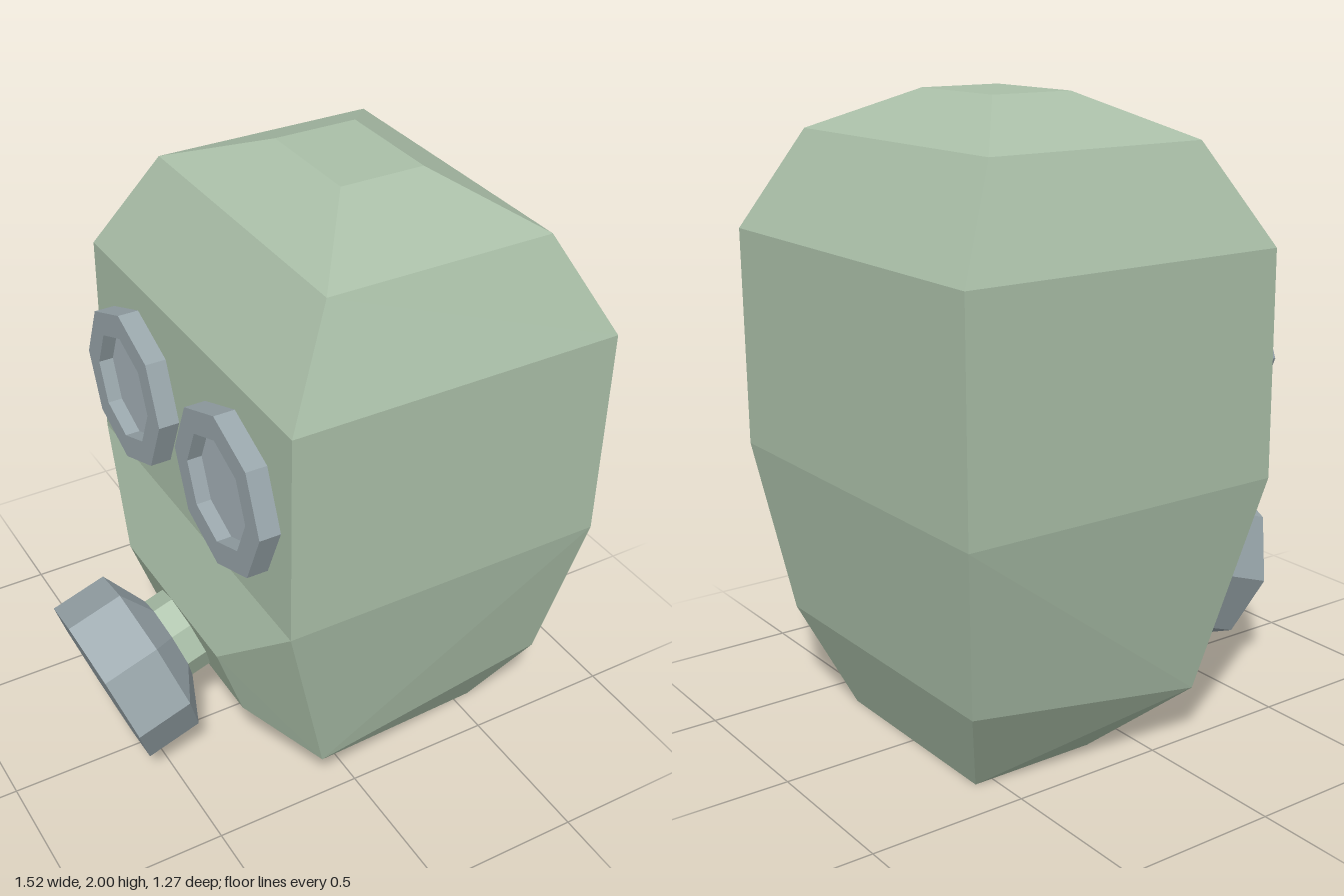
import * as THREE from 'three';

const paint = (color) => new THREE.MeshStandardMaterial({ color, flatShading: true });
const cloth = paint(0xaabfa8);
const steel = paint(0x98a5aa);
const glass = paint(0xa6b2b8);

function add(parent, name, geometry, material) {
  const mesh = new THREE.Mesh(geometry, material);
  mesh.name = name;
  parent.add(mesh);
  return mesh;
}

// Eight-sided turned part around local y; points are [radius, height]
const turned = (points) =>
  new THREE.LatheGeometry(points.map(([r, y]) => new THREE.Vector2(r, y)), 8);

// Faceted hood: a side outline mirrored in z, with strips bridging the halves
function hoodGeometry() {
  const points = {
    E: [0.14, 0, 0.35], F: [0.56, 0, 0.35], // base
    C: [0.68, 0.31, 0.52], B: [0.76, 0.86, 0.635], G: [0.76, 1.56, 0.635], // rear
    H: [0.59, 1.87, 0.5], I: [0.36, 2, 0.185], J: [0.085, 2, 0.185], K: [-0.145, 1.87, 0.5], // crown
    L: [-0.325, 1.56, 0.635], A: [-0.325, 0.86, 0.635], // face
    S: [-0.405, 0.58, 0.315], T: [-0.31, 0.305, 0.3], D: [-0.14, 0.18, 0.52], // snout and chin
  };
  const sides = ['EFD', 'FCD', 'CBD', 'BAD', 'ASD', 'STD', 'BGLA', 'GHKL', 'HIJK'];
  const left = (k) => points[k];
  const right = (k) => [points[k][0], points[k][1], -points[k][2]];
  const out = [];
  const face = (...c) => {
    for (let i = 1; i < c.length - 1; i++) out.push(...c[0], ...c[i], ...c[i + 1]);
  };
  for (const side of sides) {
    face(...[...side].map(left));
    face(...[...side].reverse().map(right));
  }
  const loop = Object.keys(points);
  loop.forEach((p, i) => {
    const q = loop[(i + 1) % loop.length];
    face(left(p), right(p), right(q), left(q));
  });
  const geometry = new THREE.BufferGeometry();
  geometry.setAttribute('position', new THREE.Float32BufferAttribute(out, 3));
  geometry.computeVertexNormals();
  return geometry;
}

export function createModel() {
  const model = new THREE.Group();
  model.name = 'gasMask';
  add(model, 'hood', hoodGeometry(), cloth);

  // Eyepieces: raised octagonal rims with recessed lenses
  for (const side of [1, -1]) {
    const eye = new THREE.Group();
    eye.name = side > 0 ? 'eyepieceFront' : 'eyepieceBack';
    eye.position.set(-0.325, 1.21, side * 0.315);
    eye.rotation.z = Math.PI / 2;
    add(eye, 'rim', turned([[0.262, 0], [0.262, 0.068], [0.18, 0.068], [0.18, 0.015]]), steel);
    add(eye, 'lens', turned([[0.18, 0.02], [0, 0.02]]), glass);
    model.add(eye);
  }

  // Filter: neck and canister pointing forward and down from the snout
  const filter = new THREE.Group();
  filter.name = 'filter';
  filter.position.set(-0.357, 0.443, 0);
  filter.rotation.z = 1.904;
  add(filter, 'neck', turned([[0.143, -0.03], [0.143, 0.075]]), cloth);
  add(filter, 'canister',
    turned([[0, 0.07], [0.143, 0.07], [0.287, 0.14], [0.287, 0.33], [0, 0.33]]), steel);
  model.add(filter);

  return model;
}
